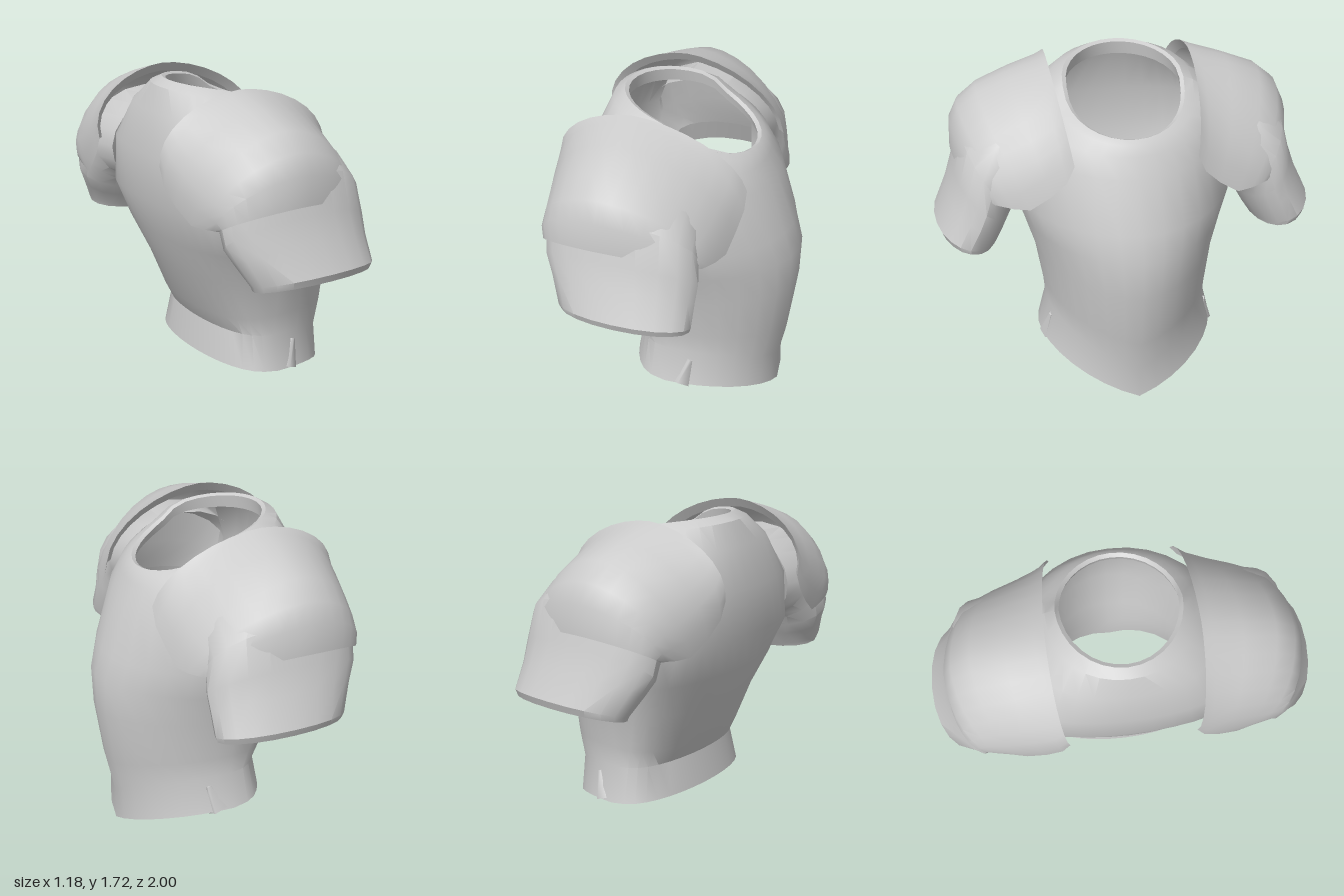
import * as THREE from 'three';
import { toCreasedNormals } from 'three/addons/utils/BufferGeometryUtils.js';

const material = new THREE.MeshStandardMaterial({ color: 0xcccccc, side: THREE.DoubleSide });

// Skin a grid of points: rows of equal length, optionally closed round each row and with holes.
function loft(rows, name, { closed = false, flip = false, isHole = () => false }) {
  const n = rows[0].length, index = [];
  for (let r = 0; r < rows.length - 1; r++) {
    for (let i = 0; i < (closed ? n : n - 1); i++) {
      if (isHole(r, i)) continue;
      const a = r * n + i, b = r * n + (i + 1) % n, c = a + n, d = b + n;
      if (flip) index.push(a, c, b, b, c, d);
      else index.push(a, b, c, b, d, c);
    }
  }
  const geometry = new THREE.BufferGeometry();
  geometry.setAttribute('position', new THREE.Float32BufferAttribute(rows.flat(2), 3));
  geometry.setIndex(index);
  const mesh = new THREE.Mesh(toCreasedNormals(geometry, 0.6), material);
  mesh.name = name;
  return mesh;
}

const power = (v, p) => Math.sign(v) * Math.abs(v) ** p;
const lerp = THREE.MathUtils.lerp;

// One ring of the torso: keeled at the chest (+x), flatter across the back.
function torsoRing([back, front, halfWidth, y, drop, rise, keel, flat]) {
  const ring = [], count = 32, mid = 0.01;
  for (let i = 0; i < count; i++) {
    const t = -i / count * Math.PI * 2, c = Math.cos(t), s = Math.sin(t);
    const x = mid + (c > 0 ? (front - mid) * power(c, keel) : (mid - back) * power(c, flat));
    // The waist dips in a V, the neckline in a round scoop
    const dip = keel > 1 ? 1 - Math.abs(s) : power(Math.abs(c), 0.7);
    const dy = c > 0 ? -drop * dip : rise * power(Math.abs(c), 0.6);
    ring.push([x, y + dy, halfWidth * s]);
  }
  return ring;
}

// Closed sleeve ring between an outer and an inner [z, y] point.
function sleeveRing([outer, inner, back, front], side) {
  const ring = [], count = 20;
  for (let i = 0; i < count; i++) {
    const t = i / count * Math.PI * 2, k = 0.5 + 0.5 * Math.sin(t);
    const x = (back + front) / 2 + (front - back) / 2 * power(Math.cos(t), 0.95);
    ring.push([x, lerp(inner[1], outer[1], k), side * lerp(inner[0], outer[0], k)]);
  }
  return ring;
}

// Arch over the shoulder: front hem, crown, back hem.
function arch([top, hem, back, front], side) {
  const row = [], count = 16;
  for (let i = 0; i <= count; i++) {
    const t = i / count * Math.PI, k = Math.sin(t);
    const x = lerp(front, back, 0.5 - 0.5 * power(Math.cos(t), 1.15)) - 0.07 * k;
    row.push([x, lerp(hem[1], top[1], k), side * lerp(hem[0], top[0], k)]);
  }
  return row;
}

export function createModel() {
  const model = new THREE.Group();
  model.name = 'cuirass';

  // Body shell: [back x, front x, half width, side y, front drop, back rise, keel, back flatness]
  model.add(loft([
    [-0.25, 0.50, 0.48, 0.22, 0.21, 0.03, 1.1, 0.7],
    [-0.22, 0.50, 0.435, 0.41, 0.22, 0.02, 1.1, 0.7],
    [-0.27, 0.54, 0.445, 0.52, 0.14, 0, 1.15, 0.65],
    [-0.36, 0.585, 0.48, 0.74, 0.04, 0, 1.3, 0.55],
    [-0.44, 0.59, 0.53, 0.91, 0, 0.02, 1.4, 0.4],
    [-0.49, 0.55, 0.575, 1.05, 0, 0.07, 1.4, 0.28],
    [-0.50, 0.455, 0.53, 1.35, 0.03, 0.02, 1.15, 0.28],
    [-0.45, 0.40, 0.45, 1.56, 0.14, 0.02, 1, 0.45],
    [-0.40, 0.375, 0.36, 1.63, 0.16, 0.07, 1, 0.8],
    [-0.35, 0.35, 0.31, 1.65, 0.16, 0.08, 1, 1],
    [-0.33, 0.33, 0.29, 1.64, 0.16, 0.08, 1, 1],
    [-0.34, 0.34, 0.30, 1.59, 0.15, 0.06, 1, 1],
  ].map(torsoRing), 'bodyShell', {
    closed: true,
    // Armholes on both flanks
    isHole: (r, i) => (r === 5 || r === 6) && Math.abs(i % 16 - 7.5) < 2,
  }));

  for (const side of [1, -1]) {
    const flip = side > 0;
    const shoulder = new THREE.Group();
    shoulder.name = flip ? 'leftShoulder' : 'rightShoulder';

    // Upper arm sleeve with the hem folded inwards
    shoulder.add(loft([
      [[0.42, 1.56], [0.49, 1.02], -0.44, 0.26],
      [[0.70, 1.54], [0.54, 1.03], -0.47, 0.27],
      [[0.84, 1.42], [0.575, 1.02], -0.50, 0.285],
      [[0.89, 1.22], [0.60, 0.98], -0.495, 0.295],
      [[0.93, 1.10], [0.63, 0.92], -0.45, 0.29],
      [[1.0, 0.95], [0.67, 0.85], -0.395, 0.29],
      [[0.985, 0.91], [0.68, 0.835], -0.385, 0.28],
      [[0.92, 1.05], [0.66, 0.92], -0.40, 0.26],
    ].map(r => sleeveRing(r, side)), 'sleeve', { closed: true, flip }));

    // Overlapping shoulder plate with a turned inner edge, running into the sleeve
    shoulder.add(loft([
      [[0.40, 1.68], [0.36, 1.38], -0.55, 0.35],
      [[0.37, 1.73], [0.31, 1.39], -0.59, 0.39],
      [[0.42, 1.715], [0.35, 1.30], -0.59, 0.39],
      [[0.57, 1.67], [0.43, 1.22], -0.575, 0.375],
      [[0.74, 1.605], [0.53, 1.15], -0.55, 0.36],
      [[0.84, 1.52], [0.61, 1.15], -0.53, 0.335],
      [[0.885, 1.42], [0.67, 1.16], -0.52, 0.315],
      [[0.89, 1.27], [0.70, 1.16], -0.505, 0.295],
    ].map(r => arch(r, side)), 'shoulderPlate', { flip }));
    model.add(shoulder);

    // Folded hip tab at the waist flare
    const tab = new THREE.Mesh(new THREE.CylinderGeometry(0.015, 0.06, 0.15, 5), material);
    tab.name = flip ? 'leftHipTab' : 'rightHipTab';
    tab.position.set(0.11, 0.285, side * 0.435);
    tab.rotation.set(-side * 0.15, 0, -0.35);
    tab.scale.z = 0.6;
    model.add(tab);
  }
  return model;
}
